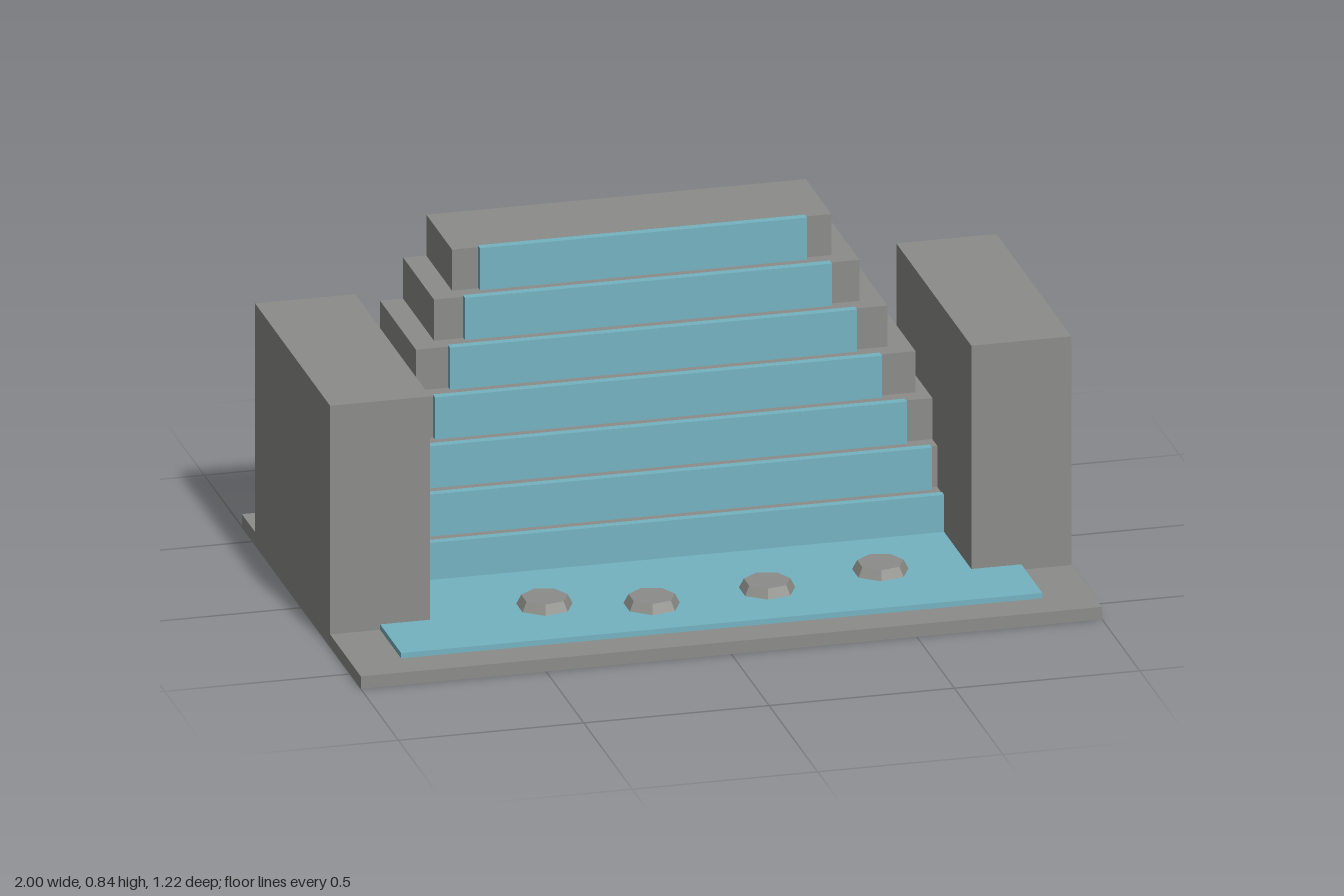
import * as THREE from 'three';

export function createModel() {
  const concrete = new THREE.MeshStandardMaterial({ color: 0x8c8c89 });
  concrete.name = 'concrete grey';
  const water = new THREE.MeshStandardMaterial({ color: 0x74b3c1 });
  water.name = 'water blue';

  const model = new THREE.Group();
  model.name = 'steppedFountain';

  // Box given by its limits along each axis
  function box(name, material, [x0, x1], [y0, y1], [z0, z1]) {
    const mesh = new THREE.Mesh(new THREE.BoxGeometry(x1 - x0, y1 - y0, z1 - z0), material);
    mesh.position.set((x0 + x1) / 2, (y0 + y1) / 2, (z0 + z1) / 2);
    mesh.name = name;
    model.add(mesh);
  }

  // Ground slab and shallow pool
  const slabTop = 0.035;
  const poolTop = 0.05;
  box('baseSlab', concrete, [-1, 1], [0, slabTop], [-0.612, 0.612]);
  box('pool', water, [-0.865, 0.865], [slabTop, poolTop], [-0.02, 0.512]);

  // Flanking blocks
  box('leftBlock', concrete, [0.73, 1], [slabTop, 0.674], [-0.476, 0.296]);
  box('rightBlock', concrete, [-1, -0.73], [slabTop, 0.674], [-0.476, 0.296]);

  // Seven receding tiers, each with a sheet of water on its front
  const tiers = 7;
  const rise = 0.1147;
  for (let i = 0; i < tiers; i++) {
    const bottom = slabTop + i * rise;
    const top = bottom + rise;
    const half = 0.885 - i * 0.0622;
    const front = -0.003 - i * 0.0515;
    const back = -0.588 + i * 0.0021;
    box('tier' + (i + 1), concrete, [-half, half], [bottom, top], [back, front]);

    const sheetHalf = 0.765 - i * 0.054;
    box('waterfall' + (i + 1), water, [-sheetHalf, sheetHalf],
      [bottom + 0.001, top + 0.004], [front - 0.004, front + 0.019]);
  }

  // Seven-sided stepping stones in the pool
  const stoneShape = new THREE.CylinderGeometry(0.062, 0.076, 0.027, 7, 1, false, Math.PI / 2).toNonIndexed();
  stoneShape.computeVertexNormals();
  [[-0.415, 0.272], [-0.143, 0.338], [0.177, 0.305], [0.497, 0.25]].forEach(([x, z], i) => {
    const stone = new THREE.Mesh(stoneShape, concrete);
    stone.position.set(x, 0.0625, z);
    stone.name = 'steppingStone' + (i + 1);
    model.add(stone);
  });

  return model;
}
